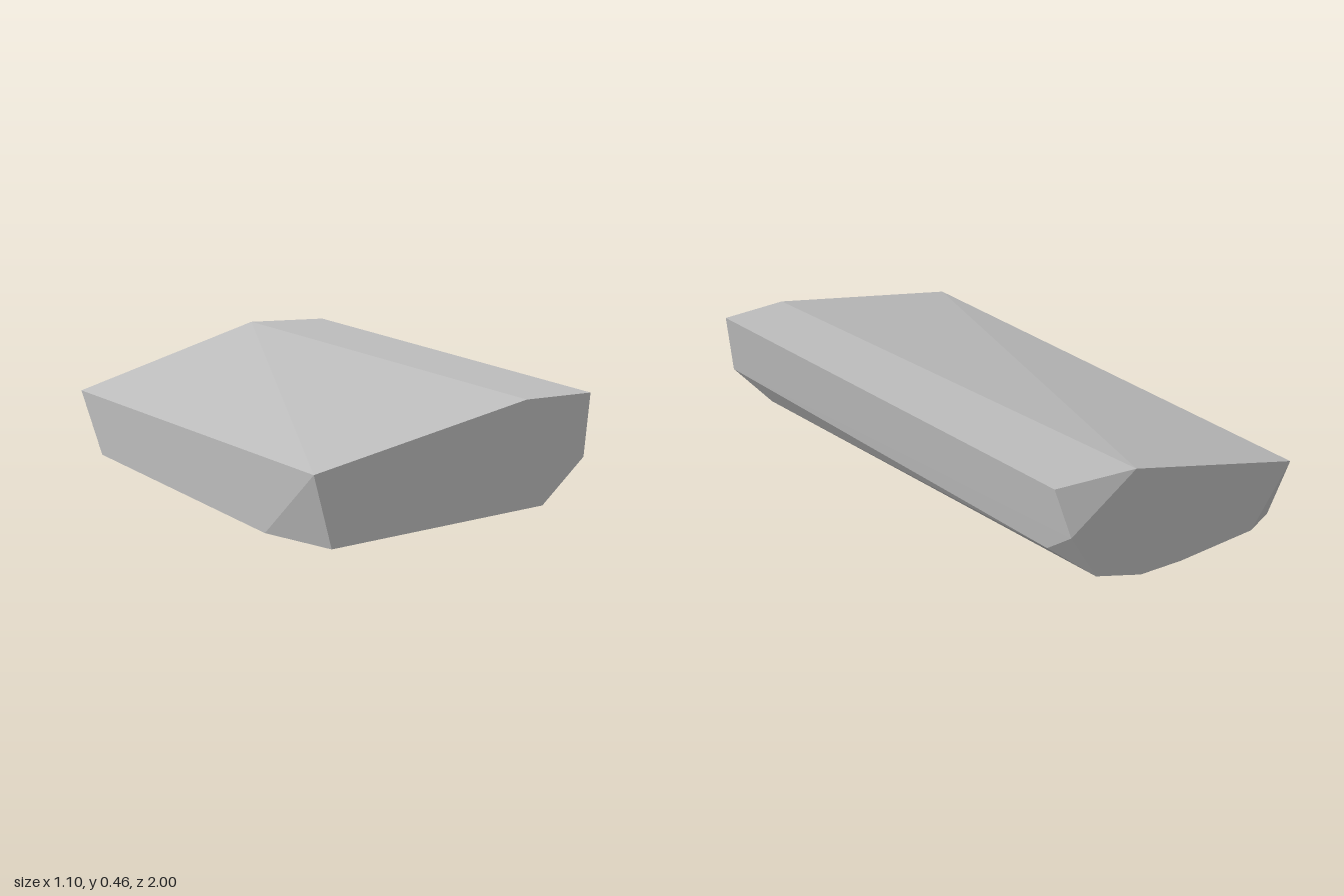
import * as THREE from 'three';
import { ConvexGeometry } from 'three/addons/geometries/ConvexGeometry.js';

// Faceted slab: convex hull over two end outlines, chamfer corners and a curved underside
export function createModel() {
  const group = new THREE.Group();
  group.name = 'slab';
  const stone = new THREE.MeshStandardMaterial({ color: 0xbcbcbc });
  stone.name = 'greyStone';

  const points = [];
  const add = (x, y, z) => points.push(new THREE.Vector3(x, y, z));
  const section = (z, outline) => outline.forEach(([x, y]) => add(x, y, z));

  // front end face
  section(1, [[-0.55, 0.285], [-0.483, 0.027], [0.355, 0.075], [0.525, 0.23], [0.548, 0.457], [0.28, 0.457]]);
  // back end face
  section(-1, [[-0.55, 0.23], [-0.36, 0.012], [0, 0.018], [0.197, 0.036], [0.41, 0.108], [0.527, 0.295], [0.235, 0.457]]);

  // cut corners
  add(0.545, 0.457, -0.935);
  add(0.516, 0.2, -0.87);
  add(0.45, 0.118, 0.85);
  add(-0.5, 0.012, -0.95);
  add(-0.55, 0, -0.79);
  add(-0.55, 0.009, 0.65);
  add(0.14, 0.04, 0.93);

  // curved underside
  section(0.6, [[-0.3, 0.012], [0.1, 0.023], [0.22, 0.034], [0.33, 0.06]]);
  section(-0.1, [[-0.35, 0.003], [0, 0.011], [0.2, 0.026], [0.31, 0.048], [0.4, 0.09]]);
  section(-0.75, [[-0.3, 0.005], [0.08, 0.015], [0.25, 0.034], [0.37, 0.075]]);

  const slab = new THREE.Mesh(new ConvexGeometry(points), stone);
  slab.name = 'slabBody';
  group.add(slab);
  return group;
}
